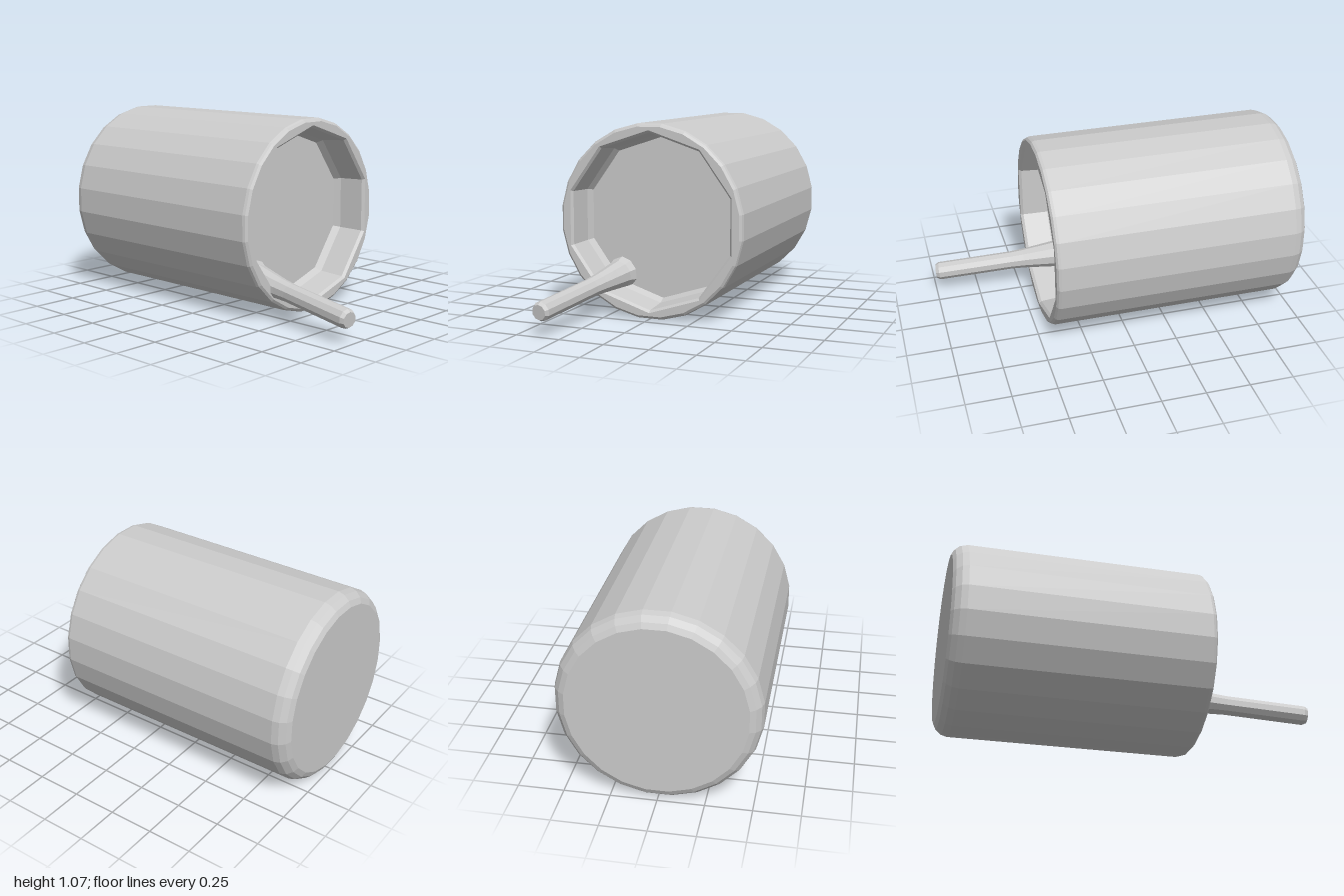
import * as THREE from 'three';

const material = new THREE.MeshStandardMaterial({ color: 0xcccccc, flatShading: true });
const R = 0.54, SIDES = 24, INNER_SIDES = 10, FRONT = 0.44, FLOOR = 0.24;

// Turned profile of [radius, z] pairs, lying along the z axis
function turned(points, sides, spin = 0) {
  const profile = points.map(([r, z]) => new THREE.Vector2(r, z));
  return new THREE.LatheGeometry(profile, sides).rotateY(spin).rotateX(Math.PI / 2);
}

function polygon(sides, radius, start) {
  return Array.from({ length: sides }, (_, i) => {
    const a = start + (i / sides) * Math.PI * 2;
    return new THREE.Vector2(Math.cos(a) * radius, Math.sin(a) * radius);
  });
}

export function createModel() {
  const model = new THREE.Group();
  const add = (name, geometry, y = R - 0.004) => {
    const mesh = new THREE.Mesh(geometry, material);
    mesh.name = name;
    mesh.position.y = y;
    model.add(mesh);
    return mesh;
  };

  // Faceted outside with a rounded closed back
  add('cupBody', turned([
    [0, -1], [0.475, -1], [0.505, -0.985], [0.53, -0.955], [R, -0.92],
    [R, 0.415], [0.535, 0.43], [0.522, FRONT],
  ], SIDES, Math.PI / SIDES));

  // Flat lip between the round outside and the coarser opening
  const lip = new THREE.Shape(polygon(SIDES, 0.522, Math.PI / SIDES));
  lip.holes.push(new THREE.Path(polygon(INNER_SIDES, 0.5, Math.PI / 2)));
  add('cupLip', new THREE.ShapeGeometry(lip).translate(0, 0, FRONT));

  // Recess walls and the flat surface inside
  add('cupRecess', turned([
    [0.5, FRONT], [0.487, 0.425], [0.475, 0.28], [0.455, FLOOR], [0, FLOOR],
  ], INNER_SIDES));

  // Leaning straw, flared where it meets the inner surface
  const base = new THREE.Vector3(-0.255, 0.205, FLOOR - 0.01);
  const tip = new THREE.Vector3(-0.37, 0.128, 0.992);
  const length = base.distanceTo(tip);
  const straw = add('straw', turned([
    [0.095, 0], [0.08, 0.04], [0.07, 0.13], [0.058, 0.24],
    [0.053, 0.32], [0.053, length - 0.02], [0.042, length], [0, length],
  ], 10));
  straw.position.copy(base);
  straw.quaternion.setFromUnitVectors(
    new THREE.Vector3(0, 0, 1), tip.clone().sub(base).normalize());

  return model;
}
